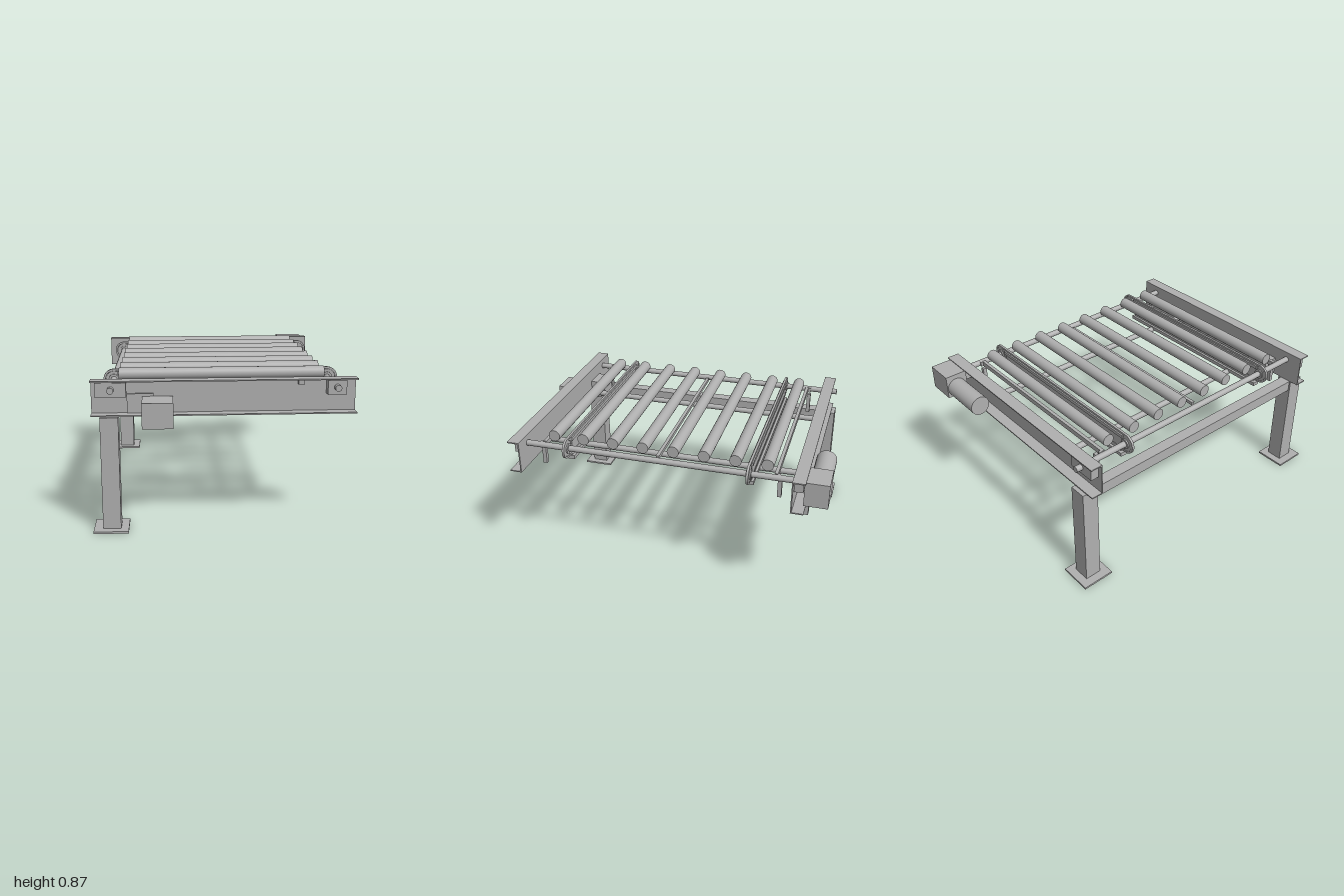
import * as THREE from 'three';

export function createModel() {
  const model = new THREE.Group();
  const steel = new THREE.MeshStandardMaterial({ color: 0xb0b0b0 });
  steel.name = 'steel grey';

  const add = (name, geometry, x = 0, y = 0, z = 0) => {
    const mesh = new THREE.Mesh(geometry, steel);
    mesh.name = name;
    mesh.position.set(x, y, z);
    model.add(mesh);
    return mesh;
  };
  // Box from its limits on each axis
  const box = (name, x0, x1, y0, y1, z0, z1) =>
    add(name, new THREE.BoxGeometry(x1 - x0, y1 - y0, Math.abs(z1 - z0)),
      (x0 + x1) / 2, (y0 + y1) / 2, (z0 + z1) / 2);
  // Round bars along x or z
  const rodX = (name, r, x0, x1, y, z) =>
    add(name, new THREE.CylinderGeometry(r, r, x1 - x0, 32).rotateZ(Math.PI / 2), (x0 + x1) / 2, y, z);
  const rodZ = (name, r, x, y, z0, z1) =>
    add(name, new THREE.CylinderGeometry(r, r, z1 - z0, 32).rotateX(Math.PI / 2), x, y, (z0 + z1) / 2);

  // Everything mirrored front to back
  for (const s of [1, -1]) {
    // Side channel, open outward
    box('channelWeb', -0.73, 0.73, 0.645, 0.84, s * 0.8, s * 0.807);
    box('channelTopFlange', -0.73, 0.73, 0.833, 0.84, s * 0.8, s * 0.873);
    box('channelBottomFlange', -0.73, 0.73, 0.645, 0.652, s * 0.8, s * 0.873);

    // Leg and foot plate
    box('leg', -0.68, -0.58, 0.012, 0.645, s * 0.797, s * 0.897);
    box('footPlate', -0.73, -0.537, 0, 0.012, s * 0.75, s * 0.945);

    // Shaft bearings on the web
    box('bearing', -0.705, -0.537, 0.748, 0.828, s * 0.807, s * 0.858);
    box('bearing', 0.565, 0.67, 0.748, 0.828, s * 0.807, s * 0.858);

    // End bar of the roller frame with its hanging pegs
    box('frameEndBar', -0.605, 0.6, 0.775, 0.805, s * 0.685, s * 0.705);
    for (const x of [-0.57, 0.57]) {
      box('framePeg', x - 0.012, x + 0.012, 0.645, 0.775, s * 0.703, s * 0.727);
      box('frameTab', x + Math.sign(x) * 0.03 - 0.008, x + Math.sign(x) * 0.03 + 0.008, 0.775, 0.805, s * 0.705, s * 0.72);
    }
  }

  // Cross beam between the legs
  box('crossBeam', -0.67, -0.6, 0.577, 0.645, -0.8, 0.8);

  // Drive shafts and lower tie rods
  rodZ('idlerShaft', 0.018, -0.62, 0.79, -0.895, 0.895);
  rodZ('driveShaft', 0.018, 0.617, 0.79, -0.87, 0.892);
  for (const x of [-0.37, 0.36]) rodZ('tieRod', 0.018, x, 0.69, -0.785, 0.78);
  rodX('linkRod', 0.004, -0.37, 0.36, 0.69, 0.755);

  // Rollers and centre bar
  for (let i = 0; i < 8; i++) rodX('roller', 0.035, -0.585, 0.58, 0.837, (i - 3.5) * 0.183);
  box('centreBar', -0.585, 0.58, 0.78, 0.8, -0.01, 0.01);

  // Stadium outline around the two shafts
  const stadium = (Type, r) => {
    const p = new Type();
    p.absarc(0.62, 0, r, -Math.PI / 2, Math.PI / 2, false);
    p.absarc(-0.62, 0, r, Math.PI / 2, Math.PI * 1.5, false);
    p.closePath();
    return p;
  };
  // Transfer chains with sprockets and guide rails
  for (const z of [-0.545, 0.545]) {
    const loop = stadium(THREE.Shape, 0.06);
    loop.holes.push(stadium(THREE.Path, 0.048));
    add('chain', new THREE.ExtrudeGeometry(loop, { depth: 0.014, bevelEnabled: false, curveSegments: 20 }), 0, 0.79, z - 0.007);
    for (const x of [-0.62, 0.62]) {
      rodZ('sprocket', 0.047, x, 0.79, z - 0.006, z + 0.006);
      rodZ('sprocketHub', 0.03, x, 0.79, z - 0.014, z + 0.014);
    }
    box('chainRail', -0.6, 0.57, 0.815, 0.836, z - 0.014, z + 0.014);
    box('chainRailWeb', -0.58, 0.56, 0.715, 0.815, z - 0.005, z + 0.005);
    box('chainLowerRail', -0.6, 0.57, 0.692, 0.715, z - 0.02, z + 0.02);
  }

  // Front gearbox and its inner housing
  box('frontGearbox', -0.45, -0.283, 0.605, 0.745, 0.82, 1);
  box('frontGearboxHousing', -0.535, -0.39, 0.645, 0.76, 0.705, 0.82);
  box('sensorBox', 0.405, 0.44, 0.803, 0.833, 0.807, 0.84);

  // Rear gearbox, motor and torque arm
  box('rearGearbox', 0.53, 0.705, 0.69, 0.835, -1, -0.865);
  rodX('motor', 0.06, 0.26, 0.53, 0.747, -0.936);
  box('torqueArm', 0.595, 0.64, 0.593, 0.7, -0.89, -0.866);

  return model;
}
